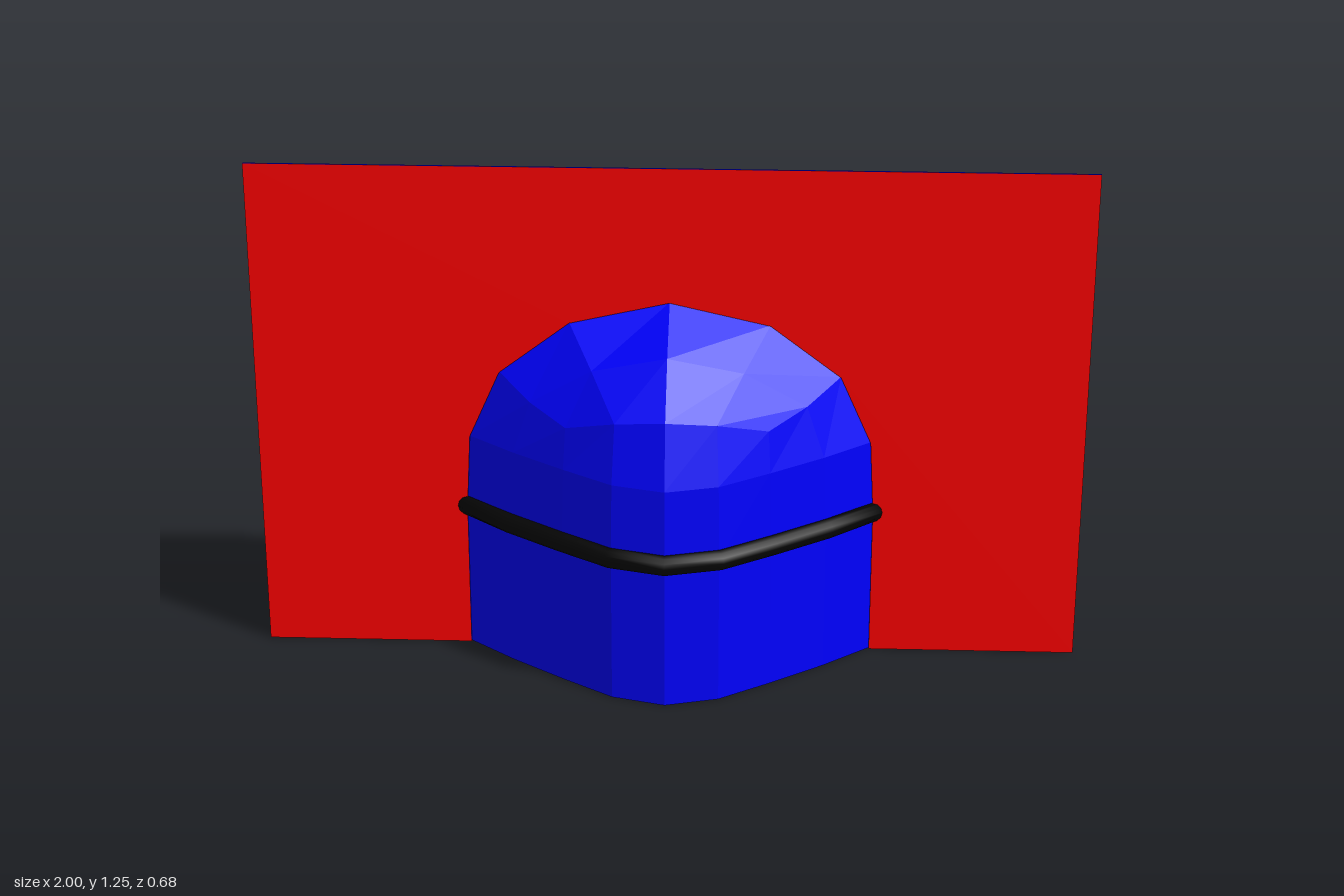
import * as THREE from 'three';

const RED = 0xff0000, BLUE = 0x0000ff;

// Mirror a half row (centre to side) into a full row from -x to +x.
const fullRow = (half) => [
  ...half.slice(1).reverse().map(([x, y, z]) => [-x, y, z]),
  ...half,
];

// Horizontal section of the wall, from the middle out to the sheet.
const section = [[0, 0.313], [0.128, 0.277], [0.25, 0.193], [0.38, 0.097], [0.495, 0]];
const wallRow = (y, sx = 1, sz = 1) => fullRow(section.map(([x, z]) => [x * sx, y, z * sz]));

// Rows of the bulge: straight wall, then the shoulder that borders the cap.
const wall = [
  wallRow(0),
  wallRow(0.375),
  wallRow(0.56, 0.98, 0.975),
  fullRow([[0, 0.715, 0.26], [0.12, 0.7, 0.234], [0.24, 0.66, 0.17], [0.33, 0.69, 0.09], [0.41, 0.73, 0]]),
];
// Cap grid, running from the shoulder back to the sheet.
const cap = [
  wall[3].slice(2, 7),
  fullRow([[0, 0.83, 0.145], [0.18, 0.785, 0.12], [0.33, 0.69, 0.09]]),
  fullRow([[0, 0.915, 0], [0.24, 0.86, 0], [0.41, 0.73, 0]]),
];

// Quads between neighbouring rows. side = 1 bulges to +z, -1 to -z;
// size is the growth per axis that sets the layers apart.
function bulgeGeometry(side, [sx, sy, sz]) {
  const pos = [];
  const put = (...pts) => pts.forEach(([x, y, z]) => pos.push(x * sx, y * sy, z * sz * side));
  for (const grid of [wall, cap]) {
    for (let r = 0; r < grid.length - 1; r++) {
      for (let i = 0; i < grid[r].length - 1; i++) {
        const a = grid[r][i], b = grid[r][i + 1], c = grid[r + 1][i + 1], d = grid[r + 1][i];
        if (side > 0) put(a, b, c, a, c, d);
        else put(a, c, b, a, d, c);
      }
    }
  }
  const geo = new THREE.BufferGeometry();
  geo.setAttribute('position', new THREE.Float32BufferAttribute(pos, 3));
  geo.computeVertexNormals();
  return geo;
}

function addPart(parent, name, geo, color, options) {
  const mesh = new THREE.Mesh(geo, new THREE.MeshStandardMaterial({ color, ...options }));
  mesh.name = name;
  parent.add(mesh);
  return mesh;
}

// Upright sheet with the outline of the bulge cut out of its lower edge.
function sheetShape() {
  const left = wall.map((row) => row[8]);
  const right = wall.map((row) => row[0]).reverse();
  const arch = [...left, ...cap[2].slice(1, 4).reverse(), ...right];
  const pts = [...arch, [-1, 0], [-1, 1.25], [1, 1.25], [1, 0]];
  return new THREE.Shape(pts.map(([x, y]) => new THREE.Vector2(x, y)));
}

// Closed polygonal path around both bulges.
class BandPath extends THREE.Curve {
  constructor(points) {
    super();
    this.points = points;
  }
  getPoint(t, target = new THREE.Vector3()) {
    const n = this.points.length;
    const f = (((t % 1) + 1) % 1) * n;
    const i = Math.floor(f + 1e-9);
    return target.lerpVectors(this.points[i % n], this.points[(i + 1) % n], Math.max(0, f - i));
  }
  getPointAt(u, target) {
    return this.getPoint(u, target);
  }
  getTangentAt(u, target = new THREE.Vector3()) {
    const before = this.getPoint(u - 0.01);
    return target.copy(this.getPoint(u + 0.01)).sub(before).normalize();
  }
}

export function createModel() {
  const model = new THREE.Group();
  model.name = 'sheetWithBulges';
  const open = { flatShading: true, side: THREE.DoubleSide };

  // Thin blue sheet with a red face
  const shape = sheetShape();
  const sheet = new THREE.ExtrudeGeometry(shape, { depth: 0.004, bevelEnabled: false });
  addPart(model, 'sheet', sheet, BLUE, open);
  addPart(model, 'sheetFace', new THREE.ShapeGeometry(shape), RED, open).position.z = 0.006;

  // Bulges, each an outer skin over a slightly smaller lining of the other colour
  const small = [0.985, 0.994, 0.985], middle = [1, 1, 1], large = [1.025, 1.008, 1.012];
  addPart(model, 'frontBulge', bulgeGeometry(1, middle), BLUE, open);
  addPart(model, 'frontBulgeLining', bulgeGeometry(1, small), RED, open);
  addPart(model, 'backBulge', bulgeGeometry(-1, large), RED, open);
  addPart(model, 'backBulgeLining', bulgeGeometry(-1, middle), BLUE, open);

  // Black band wrapped around the wall
  const row = wall[1].map(([x, y, z]) => new THREE.Vector3(x * 1.01, y, z));
  const rear = row.slice(1, 8).reverse().map((p) => new THREE.Vector3(p.x, p.y, -p.z));
  const path = new BandPath([...row, ...rear]);
  addPart(model, 'band', new THREE.TubeGeometry(path, path.points.length, 0.025, 12, true), 0x050505);
  return model;
}
